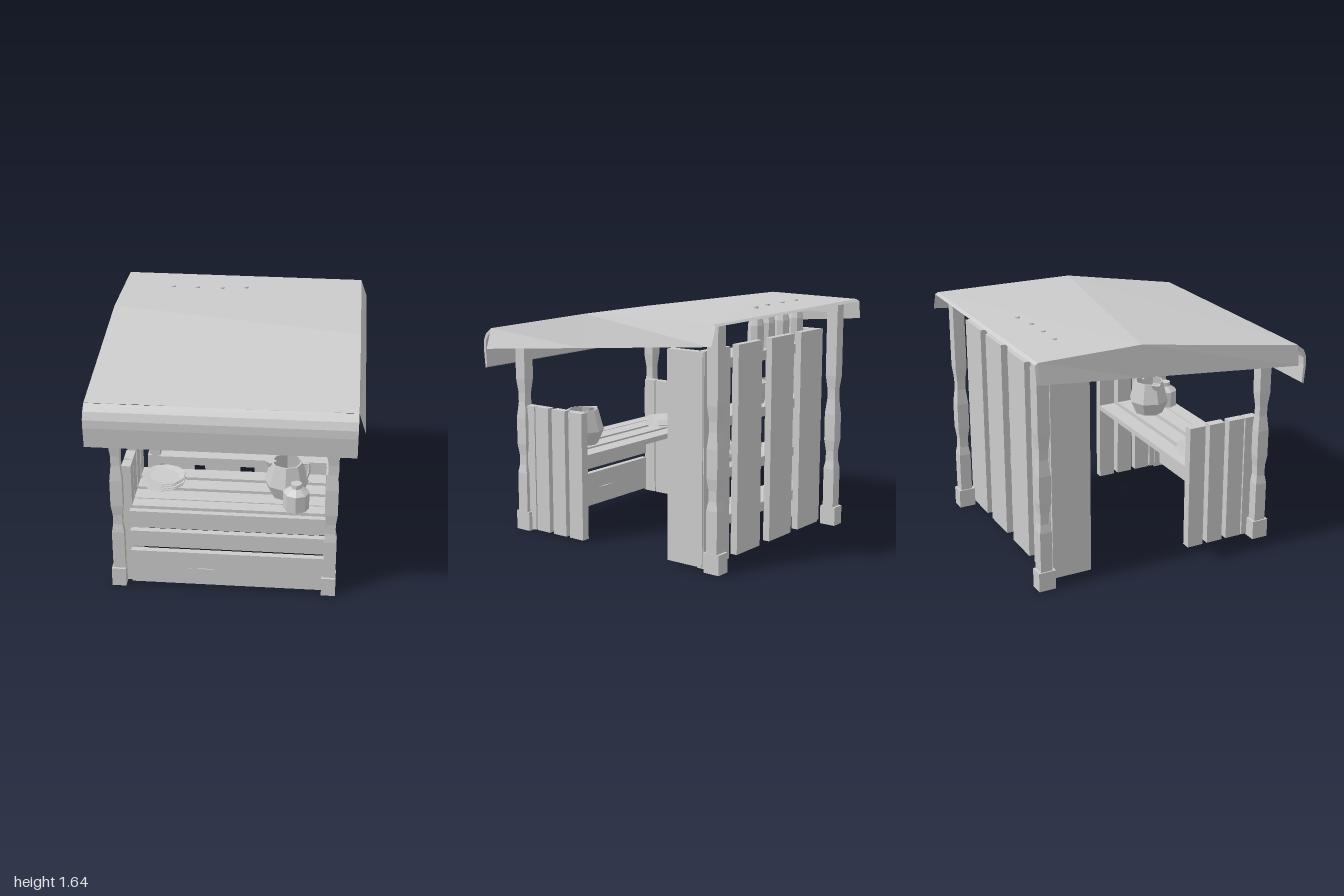
import * as THREE from 'three';

const mat = new THREE.MeshStandardMaterial({ color: 0xcccccc, flatShading: true, side: THREE.DoubleSide });

export function createModel() {
  const root = new THREE.Group();

  const add = (name, geo, x = 0, y = 0, z = 0, parent = root) => {
    const m = new THREE.Mesh(geo, mat);
    m.name = name;
    m.position.set(x, y, z);
    parent.add(m);
    return m;
  };
  // box given by its extents on each axis
  const box = (name, x0, x1, y0, y1, z0, z1) =>
    add(name, new THREE.BoxGeometry(x1 - x0, y1 - y0, z1 - z0), (x0 + x1) / 2, (y0 + y1) / 2, (z0 + z1) / 2);
  const shapeOf = pts => new THREE.Shape(pts.map(p => new THREE.Vector2(...p)));
  // turned form from [radius, height] pairs
  const turned = (name, pts, sides, x, y, z, parent) =>
    add(name, new THREE.LatheGeometry(pts.map(p => new THREE.Vector2(...p)), sides), x, y, z, parent);
  const tube = (name, pts, r, parent) => add(name, new THREE.TubeGeometry(
    new THREE.CatmullRomCurve3(pts.map(p => new THREE.Vector3(...p))), 6, r, 5), 0, 0, 0, parent);
  // sheet lofted through rows of points of equal length
  const sheet = (name, rows) => {
    const n = rows[0].length, index = [];
    for (let r = 0; r < rows.length - 1; r++)
      for (let c = 0; c < n - 1; c++) {
        const a = r * n + c, b = a + 1, d = a + n, e = d + 1;
        index.push(a, d, b, b, d, e);
      }
    const g = new THREE.BufferGeometry();
    g.setAttribute('position', new THREE.Float32BufferAttribute(rows.flat(2), 3));
    g.setIndex(index);
    g.computeVertexNormals();
    return add(name, g);
  };

  // Canopy: uneven ridge and side skirts
  const L = -0.885, R = 0.86, S = 0.905;
  const skirtY = z => 1.315 + (0.925 - z) * 0.095;
  const station = (zl, yl, zr, yr) =>
    [[-S, skirtY(zl), zl], [L, yl, zl], [R, yr, zr], [S, skirtY(zr), zr]];
  sheet('canopyRoof', [
    station(-1, 1.62, -1, 1.615),
    station(-0.98, 1.635, -0.98, 1.628),
    station(-0.27, 1.642, 0.05, 1.62),
    station(0.925, 1.455, 0.925, 1.455),
  ]);

  // Curled front valance, a thick section run across the width
  const valance = new THREE.ExtrudeGeometry(shapeOf([
    [0.925, 1.453], [0.975, 1.415], [0.997, 1.365], [1, 1.31], [0.988, 1.17],
    [0.972, 1.18], [0.98, 1.31], [0.976, 1.36], [0.955, 1.4], [0.925, 1.43],
  ]), { depth: R - L, bevelEnabled: false });
  valance.rotateY(-Math.PI / 2); // section x becomes z, depth becomes -x
  add('canopyValance', valance, R);

  // Four square turned posts with foot blocks and roof brackets
  for (const x of [-0.728, 0.71])
    for (const [z, top, dir] of [[0.757, 1.4, -1], [-0.9, 1.56, 1]]) {
      const profile = [[0.042, 0.1], [0.042, 0.42], [0.032, 0.48], [0.032, 0.55], [0.042, 0.63], [0.042, 0.82],
        [0.031, 0.93], [0.031, 1.0], [0.042, 1.1], [0.042, top], [0, top]];
      const post = turned('post', profile.map(([w, y]) => [w * Math.SQRT2, y]), 4, x, 0, z);
      post.rotation.y = Math.PI / 4;
      box('postFoot', x - 0.052, x + 0.045, 0.005, 0.14, z - 0.06, z + 0.06);
      const a = z - dir * 0.043, b = z + dir * 0.28;
      box('roofBracket', x - 0.04, x + 0.04, top - 0.01, top + 0.045, Math.min(a, b), Math.max(a, b));
    }

  // Back cabinet: upright planks, side boards and four shelves
  for (const [x0, x1] of [[-0.67, -0.4], [-0.31, -0.033], [0.083, 0.358], [0.45, 0.735]])
    box('backPlank', x0, x1, 0.02, 1.435, -0.825, -0.775);
  box('cabinetSide', -0.695, -0.632, 0.03, 1.43, -0.82, -0.54);
  box('cabinetSide', 0.685, 0.745, 0.03, 1.43, -0.82, -0.54);
  for (const y of [0.3, 0.62, 0.965, 1.35])
    box('shelf', -0.65, 0.7, y - 0.065, y, -0.78, -0.53);

  // Counter: side planks, top slats and front planks
  for (const [z0, z1] of [[0.655, 0.75], [0.525, 0.645], [0.37, 0.49], [0.215, 0.335]]) {
    box('counterSidePlank', -0.695, -0.632, 0.015, 0.91, z0, z1);
    box('counterSidePlank', 0.665, 0.725, 0.015, 0.91, z0, z1);
    box('counterSlat', -0.64, 0.67, 0.575, 0.612, z0, z1);
  }
  box('counterFrontPlank', -0.645, 0.675, 0.317, 0.437, 0.745, 0.79);
  box('counterFrontPlank', -0.645, 0.675, 0.467, 0.59, 0.745, 0.79);
  // lowest plank has a split through it
  const plank = shapeOf([[-0.645, 0.03], [0.675, 0.03], [0.675, 0.28], [-0.645, 0.28]]);
  plank.holes.push(shapeOf([[-0.255, 0.155], [-0.14, 0.158], [-0.03, 0.155], [-0.14, 0.153]]));
  add('counterFrontPlank', new THREE.ExtrudeGeometry(plank, { depth: 0.045, bevelEnabled: false }), 0, 0, 0.745);

  // Stack of plates
  for (let i = 0; i < 4; i++)
    turned('plate', [[0, 0], [0.11, 0], [0.15, 0.01], [0.148, 0.015], [0.1, 0.007], [0, 0.007]],
      10, -0.465 + (i % 2) * 0.008, 0.612 + i * 0.016, 0.42);

  // Large jug with spout and handle, and a small flask
  const jug = new THREE.Group();
  jug.name = 'jug';
  jug.position.set(0.395, 0.612, 0.495);
  root.add(jug);
  turned('jugBody', [[0, 0], [0.105, 0], [0.15, 0.1], [0.11, 0.25], [0.1, 0.25], [0.135, 0.1], [0, 0.02]], 8, 0, 0, 0, jug);
  tube('jugHandle', [[0.09, 0.235, 0], [0.145, 0.238, 0], [0.15, 0.17, 0], [0.13, 0.12, 0]], 0.01, jug);
  add('jugLip', new THREE.ConeGeometry(0.045, 0.07, 4), -0.11, 0.213, 0, jug).rotation.x = Math.PI;
  turned('flask', [[0, 0], [0.088, 0], [0.088, 0.12], [0.038, 0.155], [0.038, 0.185], [0, 0.185]], 8, 0.47, 0.612, 0.68);

  // Teapots on the cabinet shelf, spouts to the front
  for (const [x, s] of [[0.015, 1], [0.21, 0.92]]) {
    const pot = new THREE.Group();
    pot.name = 'teapot';
    pot.position.set(x, 0.62, -0.645);
    pot.scale.setScalar(s);
    root.add(pot);
    turned('teapotBody', [[0, 0], [0.062, 0], [0.1, 0.04], [0.1, 0.065], [0.06, 0.125], [0.012, 0.13], [0.012, 0.155], [0, 0.155]],
      8, 0, 0, 0, pot);
    tube('teapotSpout', [[0, 0.045, 0.08], [0, 0.055, 0.115], [0, 0.085, 0.135], [0, 0.11, 0.165]], 0.014, pot);
    tube('teapotHandle', [[0, 0.11, -0.06], [0, 0.12, -0.12], [0, 0.06, -0.125], [0, 0.04, -0.09]], 0.01, pot);
  }

  // Cups and goblets on the upper shelf
  for (const x of [-0.46, -0.285, -0.115, 0.03])
    turned('cup', [[0, 0], [0.054, 0], [0.07, 0.085], [0.073, 0.143], [0.063, 0.143], [0.045, 0.015], [0, 0.015]], 8, x, 0.965, -0.65);
  for (const x of [0.315, 0.495, 0.63])
    turned('goblet', [[0, 0], [0.045, 0], [0.043, 0.012], [0.016, 0.025], [0.016, 0.07], [0.036, 0.085],
      [0.05, 0.13], [0.046, 0.15], [0.06, 0.19], [0.052, 0.19], [0.04, 0.14], [0, 0.09]], 8, x, 0.965, -0.65);

  // Bottles on the top shelf, necks reaching through the canopy
  for (const [x, z] of [[-0.52, -0.7], [-0.34, -0.7], [-0.16, -0.7], [0.015, -0.725]])
    turned('bottle', [[0, 0], [0.055, 0], [0.055, 0.17], [0.043, 0.22], [0.017, 0.25], [0.017, 0.295], [0, 0.295]], 8, x, 1.35, z);

  return root;
}
